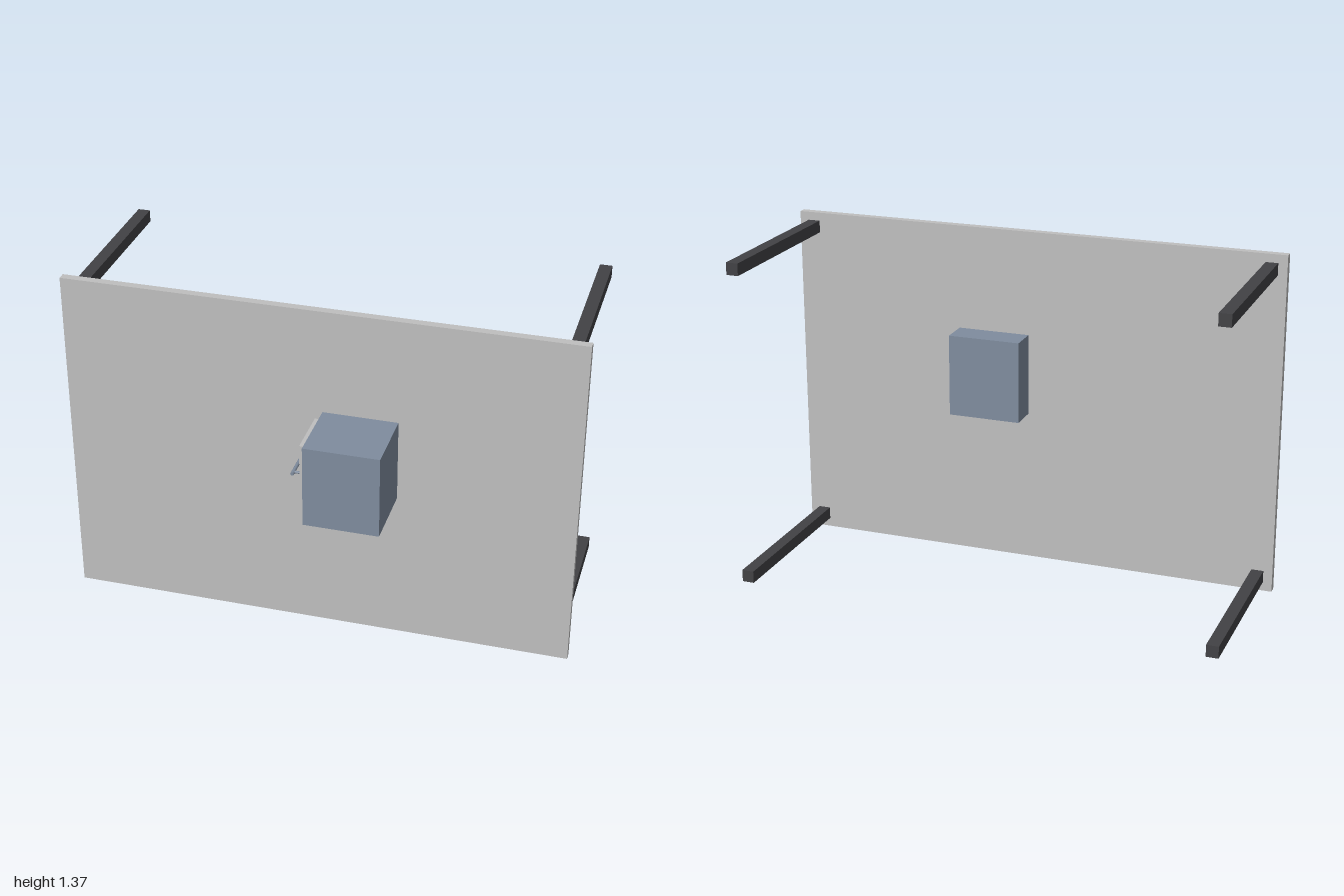
import * as THREE from 'three';

const material = (name, color) => {
  const m = new THREE.MeshStandardMaterial({ color });
  m.name = name;
  return m;
};

export function createModel() {
  const model = new THREE.Group();
  model.name = 'overturnedTable';
  const lightGrey = material('lightGrey', 0xbfbfbf);
  const darkGrey = material('darkGrey', 0x424245);
  const slateBlue = material('slateBlue', 0x7f8c9e);

  // Box given by its lower and upper corners
  const box = (name, mat, [x0, y0, z0], [x1, y1, z1], parent = model) => {
    const mesh = new THREE.Mesh(new THREE.BoxGeometry(x1 - x0, y1 - y0, z1 - z0), mat);
    mesh.position.set((x0 + x1) / 2, (y0 + y1) / 2, (z0 + z1) / 2);
    mesh.name = name;
    parent.add(mesh);
  };

  // Table top standing on its long edge
  box('tableTop', lightGrey, [-1, 0, 0.198], [1, 1.368, 0.23]);

  // Four square legs pointing backwards
  for (const x of [-0.94, 0.94]) {
    for (const y of [0.06, 1.311]) {
      box('leg', darkGrey, [x - 0.024, y - 0.024, -0.5], [x + 0.024, y + 0.024, 0.198]);
    }
  }

  // Drawer cabinet passing through the top, with its front panel
  box('cabinet', slateBlue, [0.02, 0.619, 0.083], [0.312, 0.949, 0.5]);
  box('drawerFront', lightGrey, [0.003, 0.626, 0.273], [0.02, 0.943, 0.477]);

  // Round bar handle on two posts
  const handle = new THREE.Group();
  handle.name = 'handle';
  model.add(handle);
  const rod = (name, radius, length, axis, x, z) => {
    const mesh = new THREE.Mesh(new THREE.CylinderGeometry(radius, radius, length, 16), slateBlue);
    mesh.rotation[axis] = Math.PI / 2;
    mesh.position.set(x, 0.785, z);
    mesh.name = name;
    handle.add(mesh);
  };
  rod('handleBar', 0.007, 0.108, 'x', -0.041, 0.372);
  for (const z of [0.335, 0.409]) rod('handlePost', 0.005, 0.044, 'z', -0.019, z);

  return model;
}
